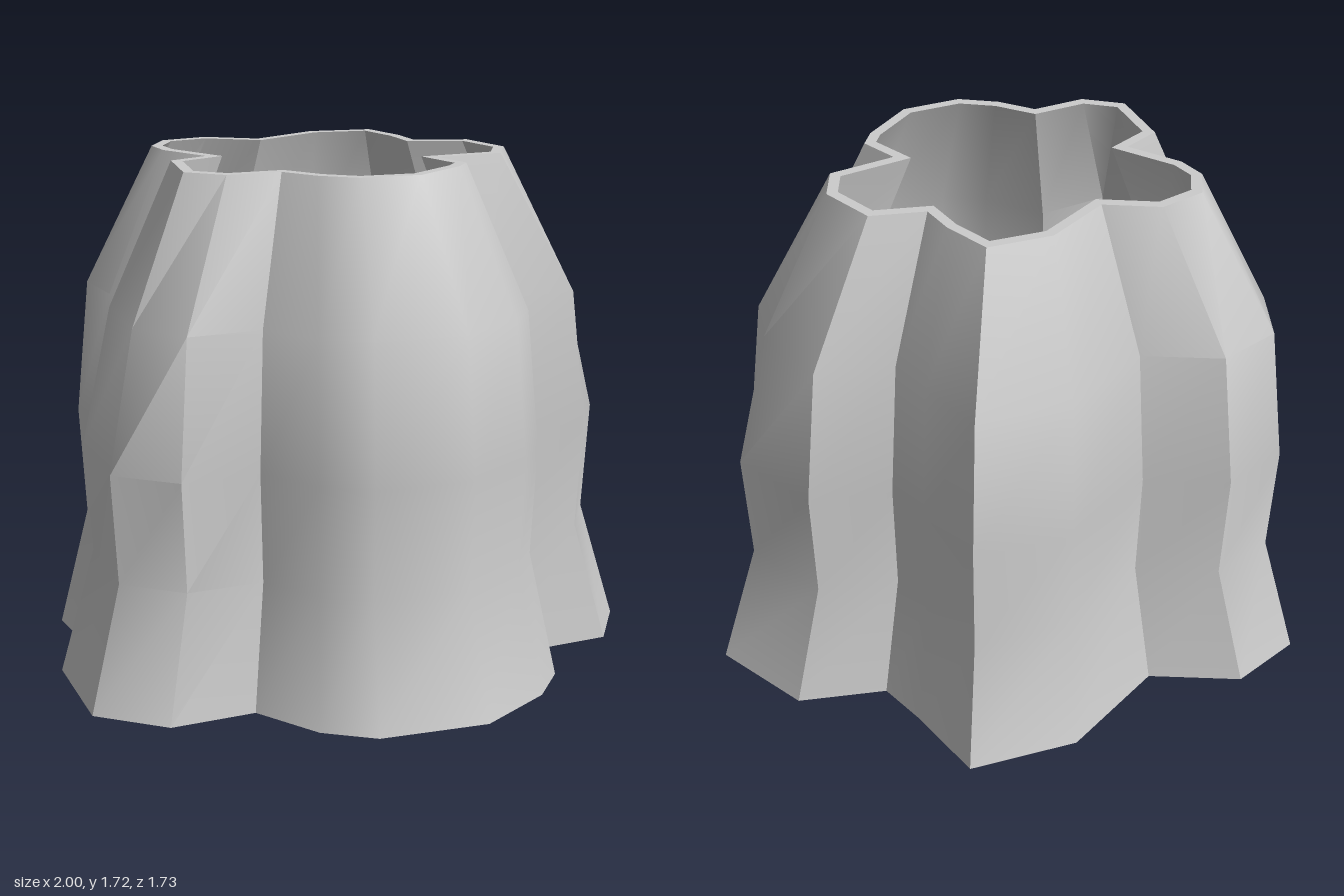
import * as THREE from 'three';
import { toCreasedNormals } from 'three/addons/utils/BufferGeometryUtils.js';

const HEIGHT = 1.72;
const WALL = 0.035;

// Five-lobed outline: x, z at the ground, then x, z at the rim
const OUTLINE = [
  [-0.50, 0.51, -0.32, 0.29], [-0.36, 0.73, -0.24, 0.40], [-0.20, 0.84, -0.13, 0.485],
  [0.17, 0.86, 0.07, 0.50], [0.43, 0.71, 0.25, 0.385], [0.55, 0.565, 0.30, 0.325],
  [0.49, 0.35, 0.26, 0.19], [0.86, 0.325, 0.49, 0.18], [1.0, 0.11, 0.56, 0.055],
  [0.875, -0.235, 0.51, -0.14], [0.59, -0.33, 0.335, -0.20], [0.555, -0.51, 0.33, -0.32],
  [0.52, -0.81, 0.285, -0.49], [0.15, -0.865, 0.07, -0.52], [-0.24, -0.69, -0.16, -0.415],
  [-0.51, -0.855, -0.32, -0.52], [-0.77, -0.78, -0.48, -0.495], [-0.89, -0.52, -0.55, -0.385],
  [-0.865, -0.23, -0.54, -0.28], [-0.73, -0.15, -0.445, -0.105], [-1.0, -0.065, -0.58, -0.055],
  [-1.0, 0.345, -0.61, 0.185], [-0.79, 0.525, -0.50, 0.285],
];

// Height and blend from ground outline to rim outline
const LEVELS = [[0, 0], [0.42, 0.29], [0.79, 0.235], [1.25, 0.36], [HEIGHT, 1]];

function ringAt([y, blend]) {
  return OUTLINE.map(([x0, z0, x1, z1]) => {
    // the two side lobes lean in earlier
    const t = y === 1.25 && Math.abs(x0) > 0.95 ? 0.48 : blend;
    return new THREE.Vector3(x0 + (x1 - x0) * t, y, z0 + (z1 - z0) * t);
  });
}

// Mitred inset of a ring by the wall thickness
function inset(ring) {
  const n = ring.length;
  const normal = (a, b) => new THREE.Vector3(a.z - b.z, 0, b.x - a.x).normalize();
  return ring.map((p, i) => {
    const n1 = normal(ring[(i + n - 1) % n], p);
    const n2 = normal(p, ring[(i + 1) % n]);
    const scale = WALL / Math.max(0.5, 1 + n1.dot(n2));
    return p.clone().addScaledVector(n1.add(n2), -scale);
  });
}

// Skin a list of rings, each joined to the next
function skin(rings, apex) {
  const pos = [];
  const tri = (...points) => points.forEach((p) => pos.push(p.x, p.y, p.z));
  const n = rings[0].length;
  for (let k = 0; k + 1 < rings.length; k++) {
    for (let i = 0; i < n; i++) {
      const j = (i + 1) % n;
      const [lo, hi] = [rings[k], rings[k + 1]];
      tri(lo[i], lo[j], hi[j]);
      tri(lo[i], hi[j], hi[i]);
    }
  }
  if (apex) {
    const last = rings[rings.length - 1];
    last.forEach((p, i) => tri(p, last[(i + 1) % n], apex));
  }
  const geometry = new THREE.BufferGeometry();
  geometry.setAttribute('position', new THREE.Float32BufferAttribute(pos, 3));
  return toCreasedNormals(geometry, 0.75);
}

export function createModel() {
  const group = new THREE.Group();
  group.name = 'lobedStump';
  const material = new THREE.MeshStandardMaterial({ color: 0xcccccc });
  const add = (name, geometry) => {
    const mesh = new THREE.Mesh(geometry, material);
    mesh.name = name;
    group.add(mesh);
  };

  const outer = LEVELS.map(ringAt);
  const inner = outer.slice(1).map(inset).reverse();

  add('outerWall', skin(outer));
  add('rim', skin([outer[outer.length - 1], inner[0]]));
  // hollow inside, ending in a bowl-shaped floor
  add('hollow', skin(inner, new THREE.Vector3(-0.07, 0.05, -0.19)));

  // flat underside
  const shape = new THREE.Shape(OUTLINE.map(([x, z]) => new THREE.Vector2(x, z)));
  add('underside', new THREE.ShapeGeometry(shape).rotateX(Math.PI / 2));

  return group;
}
